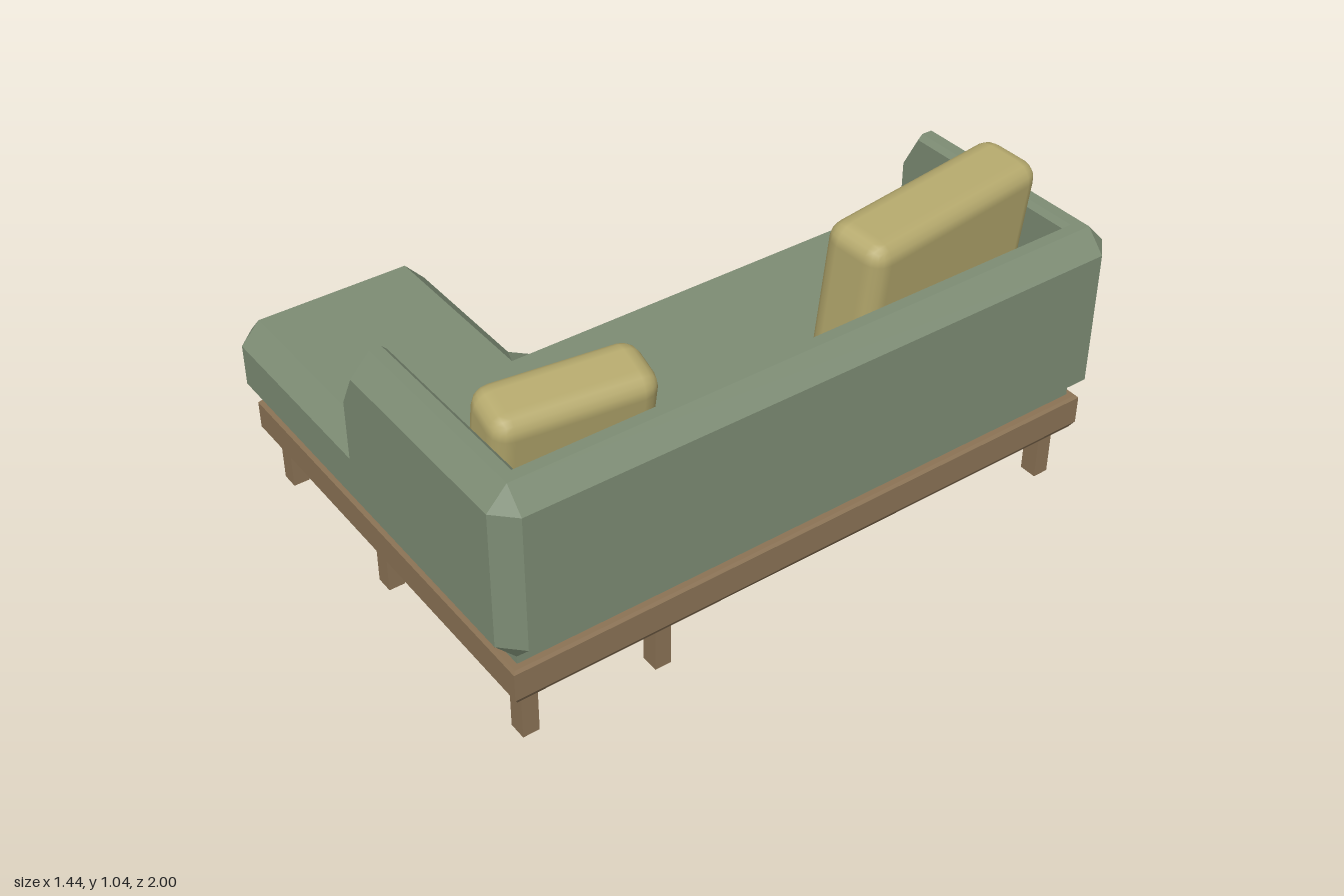
import * as THREE from 'three';
import { RoundedBoxGeometry } from 'three/addons/geometries/RoundedBoxGeometry.js';

const fabric = new THREE.MeshStandardMaterial({ color: 0x7d8c74, flatShading: true });
const wood = new THREE.MeshStandardMaterial({ color: 0x8b7355, flatShading: true });
const cushionFabric = new THREE.MeshStandardMaterial({ color: 0xb5a96d });

// Skin a list of equal-length closed rings and close both ends with fans
function loft(rings) {
  const out = [];
  const tri = (a, b, c) => out.push(...a, ...b, ...c);
  const n = rings[0].length;
  for (let k = 0; k < rings.length - 1; k++) {
    for (let j = 0; j < n; j++) {
      const i = (j + 1) % n;
      tri(rings[k][j], rings[k][i], rings[k + 1][i]);
      tri(rings[k][j], rings[k + 1][i], rings[k + 1][j]);
    }
  }
  const first = rings[0], last = rings[rings.length - 1];
  for (let j = 1; j < n - 1; j++) {
    tri(first[0], first[j + 1], first[j]);
    tri(last[0], last[j], last[j + 1]);
  }
  const g = new THREE.BufferGeometry();
  g.setAttribute('position', new THREE.Float32BufferAttribute(out, 3));
  g.computeVertexNormals();
  return g;
}

// L-shaped plan at height y, inset from the outer edge, corners cut by c
function planRing(y, inset, c) {
  const x = 0.72 - inset, z = 1 - inset, xn = -0.14 + inset, zn = 0.41 + inset;
  const corners = [[x, z], [x, -z], [xn, -z], [xn, zn], [-x, zn], [-x, z]];
  const ring = [];
  corners.forEach((p, i) => {
    for (const q of [corners[(i + 5) % 6], corners[(i + 1) % 6]]) {
      ring.push([p[0] + Math.sign(q[0] - p[0]) * c, y, p[1] + Math.sign(q[1] - p[1]) * c]);
    }
  });
  return ring;
}

// Wall cross-section: outer foot, outer edge, top edge, inner bevel, inner foot.
// Each argument is the [x, z] of that edge; s mirrors front to back.
function wallRing(s, outer, top, bevel, inner, drop = 0) {
  const at = (p, y) => [p[0], y, p[1] * s];
  return [at(outer, 0.5), at(outer, 0.79 - drop), at(top, 0.855 - drop),
    at(bevel, 0.855 - drop), at(inner, 0.84 - drop), at(inner, 0.55)];
}

function wallHalf(s) {
  const across = (x, drop) => wallRing(s, [x, 1], [x, 0.94], [x, 0.905], [x, 0.89], drop);
  const t = [0.66, 0.94], b = [0.625, 0.905], i = [0.61, 0.89];
  return [across(-0.04, 0.105), across(0.015, 0),
    wallRing(s, [0.66, 1], t, b, i), wallRing(s, [0.72, 0.94], t, b, i)];
}

export function createModel() {
  const model = new THREE.Group();
  const add = (name, geometry, material) => {
    const mesh = new THREE.Mesh(geometry, material);
    mesh.name = name;
    model.add(mesh);
    return mesh;
  };

  // Upholstered seat with chamfered edges and a recessed neck
  add('seat', loft([planRing(0.27, 0.06, 0), planRing(0.305, 0.06, 0), planRing(0.37, 0, 0.06),
    planRing(0.5, 0, 0.06), planRing(0.565, 0.06, 0)]), fabric);

  // Backrest and both arms as one swept U
  add('backrestAndArms', loft([...wallHalf(-1), ...wallHalf(1).reverse()]), fabric);

  // Wooden base frame
  add('baseFrame', loft([planRing(0.165, 0.047, 0), planRing(0.185, 0.035, 0),
    planRing(0.272, 0.035, 0), planRing(0.28, 0.042, 0)]), wood);

  // Legs
  const legs = [[0.617, -0.89], [-0.058, -0.89], [0.617, 0.485], [0.617, 0.9],
    [-0.066, 0.485], [-0.066, 0.9], [-0.625, 0.485], [-0.625, 0.9]];
  for (const [x, z] of legs) {
    add('leg', new THREE.BoxGeometry(0.055, 0.17, 0.05), wood).position.set(x, 0.085, z);
  }

  // Loose cushions leaning on the backrest: size, position, yaw, lean
  const cushions = [
    ['largeCushion', [0.2, 0.47, 0.67], [0.465, 0.803, -0.515], 0.14, 0.11],
    ['smallCushion', [0.185, 0.34, 0.46], [0.435, 0.74, 0.64], -0.13, 0.19],
  ];
  for (const [name, size, position, yaw, lean] of cushions) {
    const c = add(name, new RoundedBoxGeometry(...size, 2, 0.055), cushionFabric);
    c.position.set(...position);
    c.rotation.set(0, yaw, -lean, 'YXZ');
  }

  return model;
}
